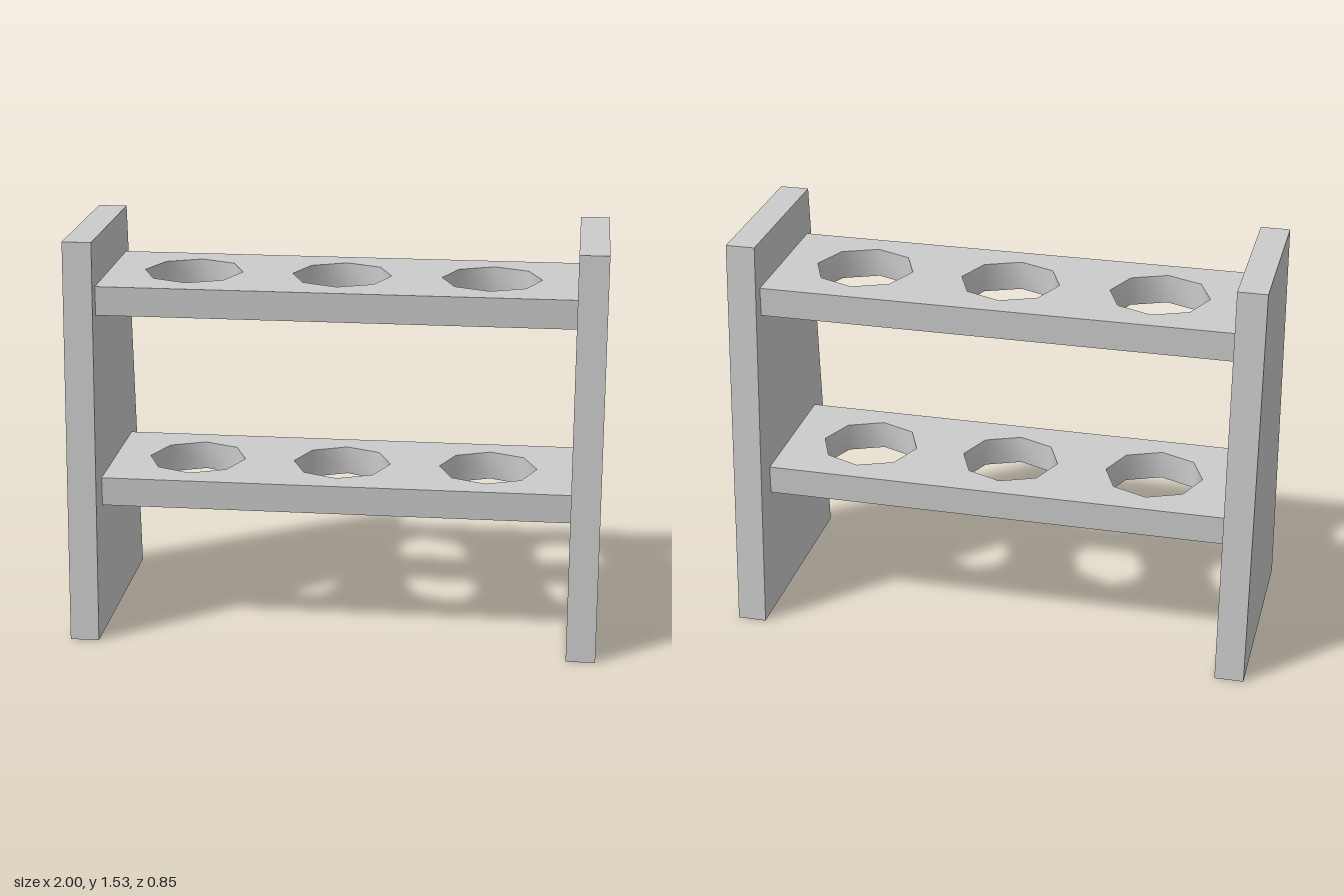
import * as THREE from 'three';
import { toCreasedNormals } from 'three/addons/utils/BufferGeometryUtils.js';

const HEIGHT = 1.535;
const THICK = 0.11;
const INNER_X = 1 - THICK;
const SHELF_HALF_DEPTH = 0.283;
const HOLE_RADIUS = 0.188;
const HOLE_SPACING = 0.567;

const polygon = (points) => points.map(([x, y]) => new THREE.Vector2(x, y));

// Tapered end panel, centred on x = 0
function panelGeometry() {
  const shape = new THREE.Shape(polygon([[-0.425, 0], [0.425, 0], [0.318, HEIGHT], [-0.318, HEIGHT]]));
  return new THREE.ExtrudeGeometry(shape, { depth: THICK, bevelEnabled: false })
    .translate(0, 0, -THICK / 2)
    .rotateY(-Math.PI / 2);
}

// Flat shelf with three octagonal holes, its underside on y = 0
function shelfGeometry() {
  const w = INNER_X, d = SHELF_HALF_DEPTH;
  const shape = new THREE.Shape(polygon([[-w, -d], [w, -d], [w, d], [-w, d]]));
  for (const i of [-1, 0, 1]) {
    const rim = [];
    for (let k = 0; k < 8; k++) {
      const a = -k * Math.PI / 4;
      rim.push([i * HOLE_SPACING + HOLE_RADIUS * Math.cos(a), HOLE_RADIUS * Math.sin(a)]);
    }
    shape.holes.push(new THREE.Path(polygon(rim)));
  }
  const geometry = new THREE.ExtrudeGeometry(shape, { depth: THICK, bevelEnabled: false })
    .rotateX(-Math.PI / 2);
  // Smooth hole walls, sharp outer edges
  return toCreasedNormals(geometry, 1);
}

export function createModel() {
  const model = new THREE.Group();
  model.name = 'holedShelfRack';
  const material = new THREE.MeshStandardMaterial({ color: 0xcccccc });

  const add = (name, geometry, x, y) => {
    const mesh = new THREE.Mesh(geometry, material);
    mesh.name = name;
    mesh.position.set(x, y, 0);
    model.add(mesh);
  };

  // End panels
  const panel = panelGeometry();
  add('leftPanel', panel, 1 - THICK / 2, 0);
  add('rightPanel', panel, -1 + THICK / 2, 0);

  // Shelves
  const shelf = shelfGeometry();
  add('lowerShelf', shelf, 0, 0.5);
  add('upperShelf', shelf, 0, 1.25);

  return model;
}
